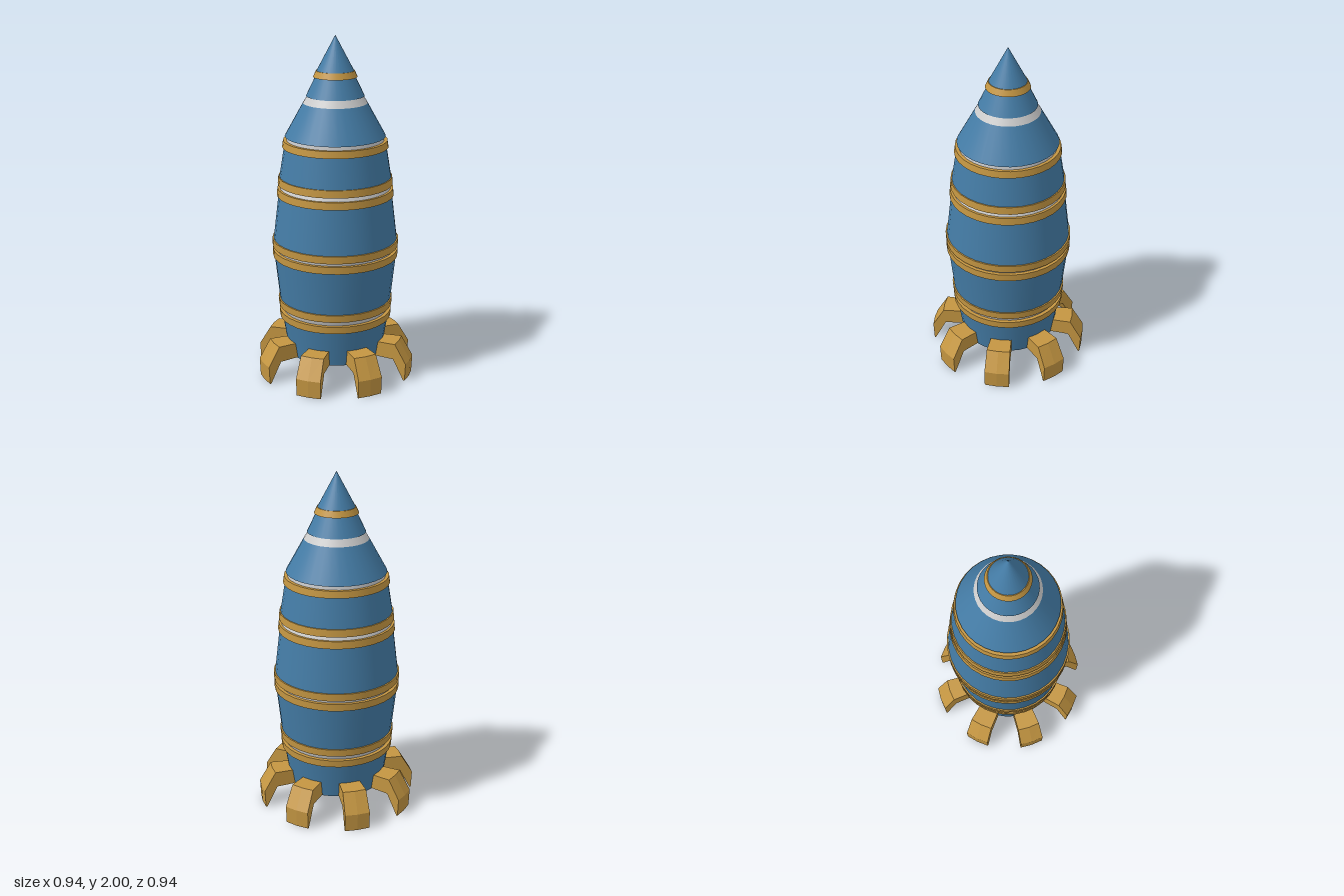
import * as THREE from 'three';
import { mergeGeometries } from 'three/addons/utils/BufferGeometryUtils.js';

const SIDES = 32;
const blue = new THREE.MeshStandardMaterial({ color: 0x447ca6 });
const gold = new THREE.MeshStandardMaterial({ color: 0xc49642 });
const grey = new THREE.MeshStandardMaterial({ color: 0xcccccc });

// Turned part: smooth around the axis, crisp edge at every profile point
function turned(name, profile, material) {
  const rings = [];
  for (let i = 0; i + 1 < profile.length; i++) {
    const pair = [profile[i], profile[i + 1]].map(([r, y]) => new THREE.Vector2(r, y));
    rings.push(new THREE.LatheGeometry(pair, SIDES));
  }
  const mesh = new THREE.Mesh(mergeGeometries(rings), material);
  mesh.name = name;
  return mesh;
}

// Closed conical band from (r0, y0) up to (r1, y1)
function band(name, y0, r0, y1, r1, material) {
  return turned(name, [[0, y0], [r0, y0], [r1, y1], [0, y1]], material);
}

// Bent landing foot: side profile in (radius, height), flared and curved about the axis
function footGeometry() {
  const profile = [[0.27, 0.13], [0.39, 0.125], [0.455, 0], [0.463, 0],
    [0.468, 0.105], [0.4, 0.22], [0.27, 0.22]];
  const shape = new THREE.Shape(profile.map(([r, y]) => new THREE.Vector2(r, y)));
  const geo = new THREE.ExtrudeGeometry(shape, { depth: 2, steps: 2, bevelEnabled: false });
  geo.translate(0, 0, -1);
  const pos = geo.attributes.position;
  for (let i = 0; i < pos.count; i++) {
    const r = pos.getX(i);
    const t = pos.getZ(i) * (0.042 + 0.068 * r);
    pos.setX(i, Math.sqrt(r * r - t * t));
    pos.setZ(i, t);
  }
  geo.computeVertexNormals();
  return geo;
}

export function createModel() {
  const rocket = new THREE.Group();
  rocket.name = 'rocket';

  // Lowest hull section with the hollow nozzle beneath it
  rocket.add(turned('nozzleAndLowerHull', [[0, 0.35], [0.13, 0.35], [0.13, 0.075],
    [0.165, 0.075], [0.235, 0.125], [0.28, 0.125], [0.315, 0.35]], blue));

  // Hull sections
  rocket.add(band('hullSection1', 0.455, 0.328, 0.725, 0.357, blue));
  rocket.add(band('hullSection2', 0.82, 0.36, 1.09, 0.328, blue));
  rocket.add(band('hullSection3', 1.19, 0.322, 1.375, 0.292, blue));

  // Pairs of gold hoops with a grey joint between them
  const joints = [
    [0.345, 0.329, 0.46, 0.337],
    [0.72, 0.365, 0.825, 0.368],
    [1.085, 0.338, 1.195, 0.328],
  ];
  joints.forEach(([y0, r0, y1, r1], i) => {
    const h = 0.043;
    const slope = (r1 - r0) / (y1 - y0);
    rocket.add(band(`lowerHoop${i + 1}`, y0, r0, y0 + h, r0 + slope * h, gold));
    rocket.add(band(`joint${i + 1}`, y0 + h, r0 - 0.018, y1 - h, r1 - 0.018, grey));
    rocket.add(band(`upperHoop${i + 1}`, y1 - h, r1 - slope * h, y1, r1, gold));
  });
  rocket.add(band('shoulderHoop', 1.368, 0.304, 1.408, 0.298, gold));
  rocket.add(band('shoulderJoint', 1.405, 0.28, 1.432, 0.276, grey));

  // Nose cone in steps
  rocket.add(band('noseBase', 1.43, 0.288, 1.62, 0.183, blue));
  rocket.add(band('noseJoint', 1.62, 0.183, 1.665, 0.155, grey));
  rocket.add(band('noseMiddle', 1.66, 0.165, 1.77, 0.112, blue));
  rocket.add(band('noseHoop', 1.767, 0.125, 1.802, 0.109, gold));
  rocket.add(turned('noseTip', [[0.105, 1.802], [0, 2]], blue));

  // Eight feet around the base
  const foot = footGeometry();
  for (let i = 0; i < 8; i++) {
    const mesh = new THREE.Mesh(foot, gold);
    mesh.name = `foot${i + 1}`;
    mesh.rotation.y = (i * Math.PI) / 4;
    rocket.add(mesh);
  }
  return rocket;
}
